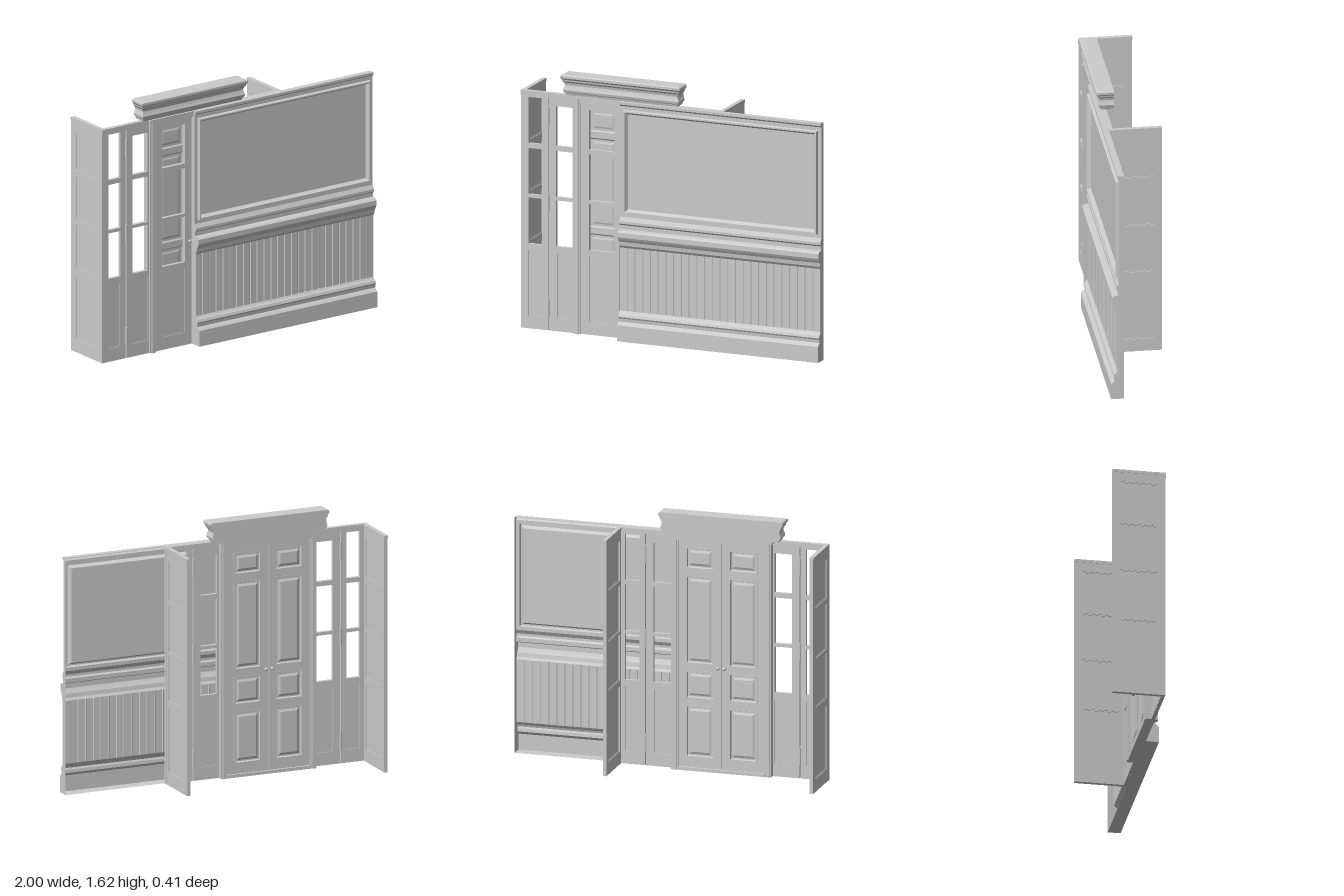
import * as THREE from 'three';

const CENTRE = -0.33; // symmetry line of the doorway
const H = 1.49;
const mat = new THREE.MeshStandardMaterial({ color: 0xcccccc, side: THREE.DoubleSide });

function add(parent, name, geo, x = 0, y = 0, z = 0) {
  const m = new THREE.Mesh(geo, mat);
  m.name = name;
  m.position.set(x, y, z);
  parent.add(m);
  return m;
}

// Box given by its limits
function box(parent, name, x0, x1, y0, y1, z0, z1) {
  return add(parent, name, new THREE.BoxGeometry(x1 - x0, y1 - y0, z1 - z0),
    (x0 + x1) / 2, (y0 + y1) / 2, (z0 + z1) / 2);
}

// Flat-shaded strip of quads joining rows of points
function loft(rows, { closed = false, capStart = false, capEnd = false } = {}) {
  const pos = [];
  const quad = (a, b, c, d) => pos.push(...a, ...b, ...c, ...a, ...c, ...d);
  for (let i = 0; i < rows.length - 1; i++) {
    const n = rows[i].length;
    for (let j = 0; j < (closed ? n : n - 1); j++) {
      const k = (j + 1) % n;
      quad(rows[i][j], rows[i][k], rows[i + 1][k], rows[i + 1][j]);
    }
  }
  if (capStart) quad(...[...rows[0]].reverse());
  if (capEnd) quad(...rows[rows.length - 1]);
  const g = new THREE.BufferGeometry();
  g.setAttribute('position', new THREE.Float32BufferAttribute(pos, 3));
  g.computeVertexNormals();
  return g;
}

// Rectangular panel stepping inwards: steps are [inset, z]
function relief(x0, x1, y0, y1, steps) {
  return loft(steps.map(([o, z]) => [
    [x0 + o, y0 + o, z], [x1 - o, y0 + o, z], [x1 - o, y1 - o, z], [x0 + o, y1 - o, z],
  ]), { closed: true, capEnd: true });
}

// Slab with rectangular openings, each [x0, x1, y0, y1]
function framed(x0, x1, y0, y1, z0, z1, holes) {
  const rect = (P, a, b, c, d) => {
    const p = new P();
    p.moveTo(a, c); p.lineTo(b, c); p.lineTo(b, d); p.lineTo(a, d); p.closePath();
    return p;
  };
  const s = rect(THREE.Shape, x0, x1, y0, y1);
  for (const h of holes) s.holes.push(rect(THREE.Path, ...h));
  const g = new THREE.ExtrudeGeometry(s, { depth: z1 - z0, bevelEnabled: false });
  g.translate(0, 0, z0);
  return g;
}

// Moulding running along x from a [z, y] profile
function moulding(x0, x1, profile) {
  return loft(profile.map(([z, y]) => [[x0, y, z], [x1, y, z]]));
}

const ROWS = [[0.08, 0.49], [0.53, 0.82], [0.84, 1.13], [1.16, 1.41]];

// Screen, wings, doors: one half, mirrored by the caller
function buildHalf(left) {
  const g = new THREE.Group();
  g.name = left ? 'leftHalf' : 'rightHalf';
  const mx = (a, b) => (left ? [2 * CENTRE - b, 2 * CENTRE - a] : [a, b]);

  // Three glazing-bar leaves with a solid bottom panel
  const leaves = [
    ['sideLight', -1, -0.823, -0.95, -0.86, 1.45],
    ['foldingLeaf', -0.817, -0.645, -0.77, -0.66, 1.41],
    ['doorLeafFront', -0.605, -0.332, -0.55, -0.38, 1.41],
  ];
  for (const [name, a, b, c, d, top] of leaves) {
    const [x0, x1] = mx(a, b), [h0, h1] = mx(c, d);
    const holes = ROWS.map(([p, q], i) => [h0, h1, p, i === 3 ? top : q]);
    add(g, name, framed(x0, x1, 0, 1.46, 0.102, 0.125, holes));
    box(g, name + 'Panel', h0, h1, 0.08, 0.49, 0.108, 0.118);
    add(g, name + 'PanelBead', framed(h0, h1, 0.08, 0.49, 0.106, 0.121,
      [[h0 + 0.007, h1 - 0.007, 0.087, 0.483]]));
  }
  box(g, 'screenHead', ...mx(-1, -0.605), 1.46, H, 0.1, 0.13);

  // Hinges between the folding leaves
  const [hx] = mx(-0.82, -0.82);
  for (const y of [0.14, 0.8, 1.34]) for (const z of [0.1, 0.127]) {
    add(g, 'hinge', new THREE.CylinderGeometry(0.008, 0.008, 0.11, 8), hx, y, z);
  }

  // Side wing reaching back, four recessed panels
  const wing = new THREE.Group();
  wing.name = 'sideWing';
  const holes = ROWS.map(([p, q]) => [-0.075, 0.155, p, q]);
  add(wing, 'wingFrame', framed(-0.125, 0.2, 0, H, -0.0115, 0.0115, holes));
  for (const [a, b, c, d] of holes) {
    box(wing, 'wingPanel', a, b, c, d, -0.005, 0.005);
    add(wing, 'wingBead', framed(a, b, c, d, -0.008, 0.008, [[a + 0.007, b - 0.007, c + 0.007, d - 0.007]]));
  }
  box(wing, 'wingCap', -0.125, 0.2, 1.472, H, -0.0135, 0.0135);
  wing.rotation.y = Math.PI / 2;
  wing.position.x = left ? 2 * CENTRE + 0.987 : -0.987;
  g.add(wing);

  // Door post with stepped back and front faces
  box(g, 'doorPost', ...mx(-0.648, -0.605), 0, H, 0.07, 0.135);
  box(g, 'postFace', ...mx(-0.638, -0.614), 0, H, 0.06, 0.145);

  // Solid door leaf with raised panels facing back
  const [d0, d1] = mx(-0.605, -0.332), [p0, p1] = mx(-0.56, -0.375);
  const doorHoles = [[0.08, 0.41], [0.45, 0.63], [0.67, 1.23], [1.27, 1.41]].map(r => [p0, p1, ...r]);
  add(g, 'doorLeafBack', framed(d0, d1, 0.02, 1.45, 0.08, 0.1, doorHoles));
  for (const r of doorHoles) {
    add(g, 'doorPanelBack', relief(...r, [[0, 0.078], [0.01, 0.078], [0.014, 0.09], [0.022, 0.09], [0.036, 0.083]]));
    add(g, 'doorPanelFront', relief(...r, [[0, 0.1], [0.008, 0.093], [0.022, 0.093], [0.034, 0.097]]));
  }
  // Knobs on both faces
  const [kx] = mx(-0.35, -0.35);
  for (const z of [0.066, 0.136]) {
    add(g, 'doorKnob', new THREE.SphereGeometry(0.011, 12, 8), kx, 0.66, z);
    const stem = add(g, 'knobStem', new THREE.CylinderGeometry(0.005, 0.005, 0.02, 8), kx, 0.66, z < 0.1 ? 0.075 : 0.127);
    stem.rotation.x = Math.PI / 2;
  }
  return g;
}

// Panelled wall: an open-backed shell of mouldings, boards and a framed field
function buildWall() {
  const g = new THREE.Group();
  g.name = 'wall';
  const X0 = -0.33, X1 = 1;
  const base = [[0.125, 0], [0.205, 0], [0.205, 0.1], [0.195, 0.11], [0.183, 0.12], [0.185, 0.14],
    [0.191, 0.15], [0.185, 0.165], [0.172, 0.175], [0.165, 0.185]];
  const rail = [[0.165, 0.58], [0.176, 0.595], [0.18, 0.62], [0.19, 0.635], [0.198, 0.65], [0.198, 0.68],
    [0.185, 0.69], [0.16, 0.695], [0.16, 0.72], [0.17, 0.73], [0.17, 0.745], [0.155, 0.77]];
  const top = [[0.155, 1.465], [0.165, 1.475], [0.165, H], [0.125, H]];
  add(g, 'baseboard', moulding(X0, X1, base));
  add(g, 'chairRail', moulding(X0, X1, rail));
  add(g, 'topMoulding', moulding(X0, X1, top));

  // Boards separated by V grooves
  const n = 26, w = (X1 - X0) / n, line = [];
  for (let i = 0; i < n; i++) {
    const x = X0 + i * w;
    line.push([x, 0.161], [x + 0.004, 0.165], [x + w - 0.004, 0.165]);
  }
  line.push([X1, 0.161]);
  add(g, 'beadboard', loft([0.185, 0.58].map(y => line.map(([x, z]) => [x, y, z]))));

  // Framed upper field
  add(g, 'upperPanel', relief(X0, X1, 0.77, 1.465,
    [[0, 0.155], [0.022, 0.155], [0.027, 0.174], [0.036, 0.174], [0.042, 0.162], [0.05, 0.15]]));

  // End faces
  const pts = [...base, ...rail, ...top].map(p => new THREE.Vector2(...p));
  for (const x of [X0, X1]) {
    const geo = new THREE.ShapeGeometry(new THREE.Shape(pts));
    geo.rotateY(-Math.PI / 2);
    add(g, 'wallEnd', geo, x);
  }
  return g;
}

export function createModel() {
  const model = new THREE.Group();
  model.name = 'panelledEntrance';
  model.add(buildHalf(false), buildHalf(true), buildWall());

  // Door head and threshold
  box(model, 'doorHead', -0.648, -0.012, 1.45, H, 0.065, 0.14);
  box(model, 'headBead', -0.655, -0.005, 1.475, H, 0.06, 0.148);
  box(model, 'threshold', -0.605, -0.055, 0, 0.02, 0.065, 0.125);

  // Cornice: moulded front and ends, flat back
  const steps = [[0, 1.49], [0.004, 1.505], [0.012, 1.51], [0.016, 1.525], [0.01, 1.54], [0.006, 1.555],
    [0.01, 1.57], [0.018, 1.58], [0.02, 1.59], [0.028, 1.6], [0.028, 1.614], [0.02, 1.62]];
  add(model, 'cornice', loft(steps.map(([o, y]) => {
    const l = -0.697 - o, r = 0.037 + o, f = 0.135 + o;
    return [[l, y, f], [r, y, f], [r, y, 0.055], [l, y, 0.055]];
  }), { closed: true, capStart: true, capEnd: true }));

  return model;
}
